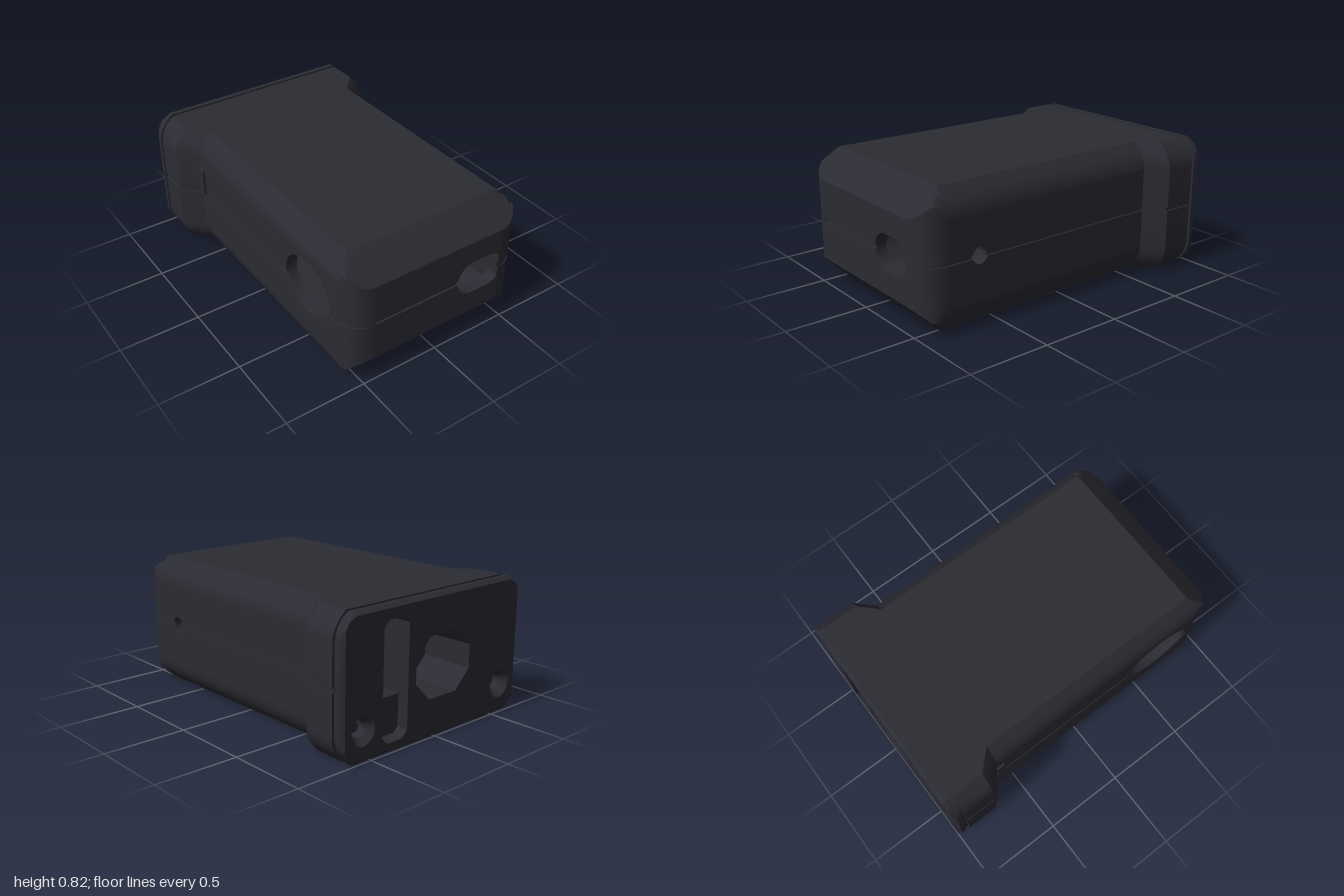
import * as THREE from 'three';
import { toCreasedNormals } from 'three/addons/utils/BufferGeometryUtils.js';

const H = 0.82, SEAM_LO = 0.4, SEAM_HI = 0.425, GROOVE = 0.012;
const casing = new THREE.MeshStandardMaterial({ color: 0x2b2b33, side: THREE.DoubleSide });
casing.name = 'dark casing';

const v2 = (pts) => pts.map(([x, y]) => new THREE.Vector2(x, y));
const part = (name, geometry, x = 0, y = 0, z = 0) => {
  const m = new THREE.Mesh(geometry, casing);
  m.name = name;
  m.position.set(x, y, z);
  return m;
};

// Solid slab along +z from an outline and hole outlines
function slab(outline, holes, depth) {
  const shape = new THREE.Shape(v2(outline));
  holes.forEach((h) => shape.holes.push(new THREE.Path(v2(h))));
  return toCreasedNormals(
    new THREE.ExtrudeGeometry(shape, { depth, bevelEnabled: false }), 0.5);
}

// Outlines: ellipse, sideways capsule, rectangle with cut corners
const ellipse = (cx, cy, rx, ry, n = 24) => Array.from({ length: n }, (_, i) => {
  const a = (i / n) * Math.PI * 2;
  return [cx + rx * Math.cos(a), cy + ry * Math.sin(a)];
});
const capsule = (cx, cy, hw, r) => ellipse(cx, cy, r, r, 32)
  .map(([x, y]) => [x + (x > cx + 1e-6 ? 1 : -1) * (hw - r), y]);
const cutRect = (cx, cy, hw, hh, c) => [
  [cx + hw, cy - hh + c], [cx + hw, cy + hh - c], [cx + hw - c, cy + hh], [cx - hw + c, cy + hh],
  [cx - hw, cy + hh - c], [cx - hw, cy - hh + c], [cx - hw + c, cy - hh], [cx + hw - c, cy - hh]];

// Right half of the cross-section, bottom to top: x, y, seam inset
const corner = [[0.51, 0], [0.555, 0.045], [0.583, 0.085], [0.597, 0.125], [0.6, 0.16]];
const half = [
  ...corner.map(([x, y]) => [x, y, 0]),
  [0.6, SEAM_LO, 0], [0.6, SEAM_LO, GROOVE], [0.6, SEAM_HI, GROOVE], [0.6, SEAM_HI, 0],
  ...corner.map(([x, y]) => [x, H - y, 0]).reverse()];
const flat = (p) => p[0] > 0.599;

// Section widened by d, then trimmed to half width w and inset e at top and bottom
function section({ d = 0, w = 1, e = 0, seam = 1 }) {
  const right = half.map(([x, y, g]) =>
    [Math.min(x + d, w) - g * seam, Math.min(Math.max(y, e), H - e)]);
  return [...right, ...right.map(([x, y]) => [-x, y]).reverse()];
}

// Outer shell lofted from back to front; flat sides are left for the walls
function shellGeometry() {
  const rings = [
    { z: -1, d: 0.11, w: 0.69, e: 0.02, seam: 0 },
    { z: -0.98, d: 0.11, seam: 0 },
    { z: -0.95, d: 0.11, seam: 0 },
    { z: -0.95, d: 0.095, e: 0.012, seam: 0 },
    { z: -0.925, d: 0.095, e: 0.012, seam: 0 },
    { z: -0.925, d: 0.11 },
    { z: -0.73, d: 0.11 },
    { z: -0.62 },
    { z: 0.84 }];
  const r = 0.16;
  for (let i = 1; i <= 8; i++) {
    const a = (i / 8) * Math.PI / 2, s = r * Math.sin(a);
    rings.push({ z: 0.84 + s, w: 0.6 - r + r * Math.cos(a), e: s });
  }
  const base = [...half, ...[...half].reverse()], n = base.length, pos = [];
  const loops = rings.map((k) => section(k).map(([x, y]) => [x, y, k.z]));
  for (let i = 0; i + 1 < loops.length; i++) {
    for (let j = 0; j < n; j++) {
      const k = (j + 1) % n;
      if (rings[i].z === -0.62 && flat(base[j]) && flat(base[k])) continue;
      const a = loops[i][j], b = loops[i][k], c = loops[i + 1][k], d = loops[i + 1][j];
      pos.push(...a, ...b, ...c, ...a, ...c, ...d);
    }
  }
  const g = new THREE.BufferGeometry();
  g.setAttribute('position', new THREE.Float32BufferAttribute(pos, 3));
  return toCreasedNormals(g, 0.45);
}

// Flat wall with an opening, split by the seam; outer face at z = 0
function wall(name, x0, x1, hole) {
  const g = new THREE.Group();
  g.name = name;
  const y0 = 0.16, y1 = 0.66;
  const xs = hole.map((p) => p[0]), lo = Math.min(...xs), hi = Math.max(...xs);
  const notch = (edge, sign) => [[lo, edge],
    ...hole.filter(([x, y]) => (y - edge) * sign > 1e-3 && x > lo + 1e-4 && x < hi - 1e-4)
      .sort((a, b) => a[0] - b[0]),
    [hi, edge]];
  const upper = [[x0, y1], [x0, SEAM_HI], ...notch(SEAM_HI, 1), [x1, SEAM_HI], [x1, y1]];
  const lower = [[x0, y0], [x0, SEAM_LO], ...notch(SEAM_LO, -1), [x1, SEAM_LO], [x1, y0]];
  g.add(part(name + ' upper half', slab(upper, [], GROOVE), 0, 0, -GROOVE));
  g.add(part(name + ' lower half', slab(lower, [], GROOVE), 0, 0, -GROOVE));
  const liner = [[x0, y0], [x1, y0], [x1, y1], [x0, y1]];
  g.add(part(name + ' liner', slab(liner, [hole], 0.06), 0, 0, -GROOVE - 0.06));
  return g;
}

export function createModel() {
  const model = new THREE.Group();
  model.name = 'enclosure';
  model.add(part('outer shell', shellGeometry()));

  // Front and side walls with their openings
  const front = wall('front wall', -0.44, 0.44, capsule(0.3, 0.41, 0.165, 0.11)
    .map(([x, y]) => [Math.min(x, 0.435), y]));
  front.position.z = 1;
  const right = wall('right wall', -0.84, 0.62, ellipse(-0.63, 0.4125, 0.05, 0.05));
  right.rotation.y = Math.PI / 2;
  right.position.x = 0.6;
  const left = wall('left wall', -0.62, 0.84, ellipse(0.6, 0.46, 0.22, 0.18));
  left.rotation.y = -Math.PI / 2;
  left.position.x = -0.6;
  model.add(front, right, left);

  // Back plate with slot, socket and screw holes
  const slot = cutRect(0.325, 0.4, 0.095, 0.34, 0.04);
  const socket = cutRect(-0.05, 0.41, 0.22, 0.18, 0.11);
  const screws = [-0.56, 0.56].map((x) => [x, 0.18]);
  const outline = section({ d: 0.11, w: 0.69, e: 0.02, seam: 0 })
    .filter(([, y]) => y < SEAM_LO - 0.01 || y > SEAM_HI + 0.01);
  const holes = [slot, socket, ...screws.map(([x, y]) => ellipse(x, y, 0.085, 0.085))];
  model.add(part('back plate', slab(outline, holes, 0.05), 0, 0, -1));

  // Tunnels behind the openings
  model.add(part('slot tunnel',
    slab(cutRect(0.325, 0.4, 0.12, 0.36, 0.04), [slot], 0.15), 0, 0, -0.95));
  model.add(part('slot ledge', new THREE.BoxGeometry(0.12, 0.22, 0.1), 0.29, 0.18, -0.88));
  model.add(part('socket tunnel',
    slab(cutRect(-0.05, 0.41, 0.245, 0.205, 0.12), [socket], 0.3), 0, 0, -0.95));
  model.add(part('socket floor', slab(socket, [], 0.02), 0, 0, -0.67));

  // Countersunk screw wells
  const well = v2([[0.085, 0], [0.05, 0.04], [0.05, 0.1], [0, 0.1]]);
  for (const [x, y] of screws) {
    const g = toCreasedNormals(new THREE.LatheGeometry(well, 24).rotateX(Math.PI / 2), 0.5);
    model.add(part('screw well', g, x, y, -1));
    const head = new THREE.CylinderGeometry(0.03, 0.03, 0.03, 16).rotateX(Math.PI / 2);
    model.add(part('screw head', head, x, y, -0.915));
  }

  // Small tab beside the flange
  model.add(part('side tab', new THREE.BoxGeometry(0.03, 0.18, 0.05), -0.6, 0.5, -0.6));
  return model;
}
